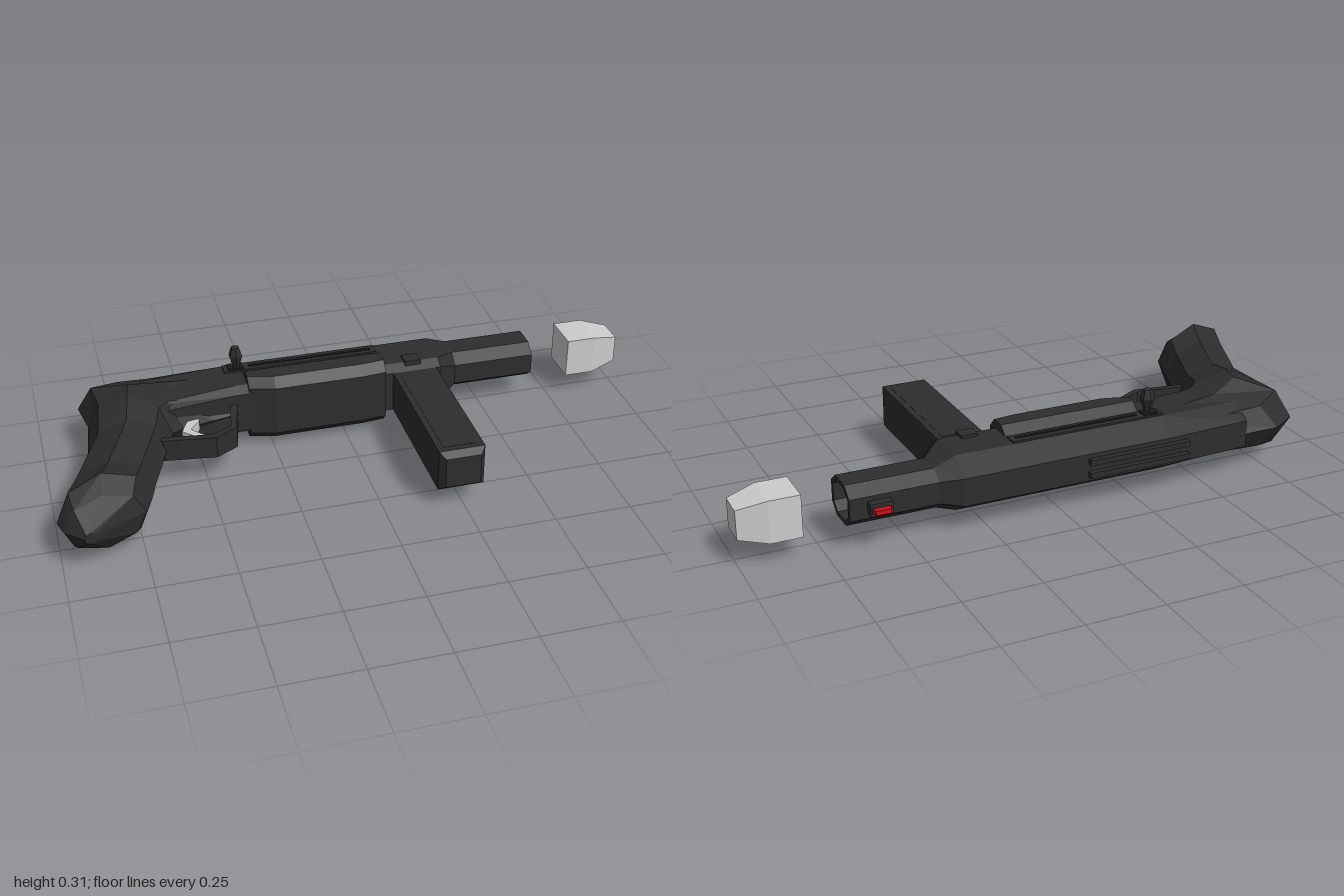
import * as THREE from 'three';

const CY = 0.14; // height of the symmetry plane

const mat = (name, color, extra = {}) =>
  Object.assign(new THREE.MeshStandardMaterial({ color, flatShading: true, ...extra }), { name });

// Skin a list of equal-sized point rings, with fan caps; always faces outwards
function loft(rings) {
  const tris = [], n = rings[0].length;
  const mid = (r) => r.reduce((s, p) => s.add(p), new THREE.Vector3()).divideScalar(n);
  for (let i = 0; i < rings.length - 1; i++) {
    for (let j = 0; j < n; j++) {
      const k = (j + 1) % n, a = rings[i], b = rings[i + 1];
      tris.push([a[j], a[k], b[k]], [a[j], b[k], b[j]]);
    }
  }
  const first = rings[0], last = rings[rings.length - 1];
  const c0 = mid(first), c1 = mid(last);
  for (let j = 0; j < n; j++) {
    const k = (j + 1) % n;
    tris.push([c0, first[k], first[j]], [c1, last[j], last[k]]);
  }
  const volume = tris.reduce((s, [a, b, c]) =>
    s + a.clone().sub(c0).dot(b.clone().sub(c0).cross(c.clone().sub(c0))), 0);
  if (volume < 0) tris.forEach((t) => t.reverse());
  const geo = new THREE.BufferGeometry().setFromPoints(tris.flat());
  geo.computeVertexNormals();
  return geo;
}

// Octagon ring spanning (x1,z1)-(x2,z2), with half width hy
function oval([x1, z1, x2, z2, hy]) {
  return Array.from({ length: 8 }, (_, i) => {
    const a = (i * Math.PI) / 4, c = Math.cos(a) / 2;
    return new THREE.Vector3((x1 + x2) / 2 + c * (x1 - x2), CY + Math.sin(a) * hy,
      (z1 + z2) / 2 + c * (z1 - z2));
  });
}

// Chamfered cross-section at x; t and b are [narrow width, chamfer depth]
function section(x, zTop, zBot, hy, t, b) {
  const half = [[t[0], zTop], [hy, zTop + t[1]], [hy, zBot - b[1]], [b[0], zBot]];
  return [...half, ...half.map(([y, z]) => [-y, z]).reverse()]
    .map(([y, z]) => new THREE.Vector3(x, CY + y, z));
}

// Rectangle ring at x
const rect = (x, z0, z1, y0, y1) =>
  [[y0, z0], [y1, z0], [y1, z1], [y0, z1]].map(([y, z]) => new THREE.Vector3(x, y, z));

// Flat outline in x,z extruded to a half width around the symmetry plane
function plate(points, hy, hole) {
  const shape = new THREE.Shape(points.map(([x, z]) => new THREE.Vector2(x, -z)));
  if (hole) shape.holes.push(new THREE.Path(hole.map(([x, z]) => new THREE.Vector2(x, -z))));
  const geo = new THREE.ExtrudeGeometry(shape, { depth: hy * 2, bevelEnabled: false });
  return geo.rotateX(-Math.PI / 2).translate(0, CY - hy, 0);
}

function box(x0, x1, y0, y1, z0, z1) {
  return new THREE.BoxGeometry(x1 - x0, y1 - y0, z1 - z0)
    .translate((x0 + x1) / 2, (y0 + y1) / 2, (z0 + z1) / 2);
}

export function createModel() {
  const group = new THREE.Group();
  const black = mat('gunmetal black', 0x2d2d2d);
  const dark = mat('slot black', 0x1c1c1c);
  const light = mat('light grey', 0xcccccc);
  const red = mat('sight red', 0xc4101e);
  const add = (name, geo, material = black) => {
    const mesh = new THREE.Mesh(geo, material);
    mesh.name = name;
    group.add(mesh);
    return mesh;
  };

  // Grip curving up into the rear of the body
  add('grip', loft([
    [-0.93, 0.405, -0.89, 0.395, 0.02],
    [-0.985, 0.35, -0.735, 0.31, 0.095],
    [-1.0, 0.3, -0.71, 0.25, 0.137],
    [-0.96, 0.19, -0.685, 0.17, 0.11],
    [-0.87, -0.03, -0.61, -0.04, 0.11],
    [-0.85, -0.2, -0.59, -0.09, 0.133],
    [-0.87, -0.32, -0.55, -0.11, 0.13],
    [-0.78, -0.375, -0.45, -0.13, 0.1],
    [-0.45, -0.38, -0.38, -0.145, 0.08],
  ].map(oval)));

  // Body tapering into the barrel
  const top = [0.045, 0.075], low = [0.07, 0.03];
  add('body', loft([
    section(-0.66, -0.375, -0.11, 0.085, top, low),
    section(-0.37, -0.39, -0.15, 0.09, top, low),
    section(0.33, -0.39, -0.15, 0.09, top, low),
    section(0.4, -0.36, -0.2, 0.065, [0.035, 0.04], [0.035, 0.04]),
  ]));

  // Barrel: octagonal tube with an open bore
  const ring = (s) => section(0, -0.08, 0.08, 0.065, [0.035, 0.04], [0.035, 0.04])
    .map((p) => new THREE.Vector2(-p.z * s, (p.y - CY) * s));
  const barrel = new THREE.Shape(ring(1));
  barrel.holes.push(new THREE.Path(ring(0.8)));
  add('barrel', new THREE.ExtrudeGeometry(barrel, { depth: 0.29, bevelEnabled: false })
    .rotateZ(Math.PI).rotateY(Math.PI / 2).translate(0.39, CY, -0.28));
  add('boreEnd', box(0.4, 0.42, CY - 0.045, CY + 0.045, -0.33, -0.23), dark);

  // Handguard block around the lower body
  const guard = (x, zBot) => section(x, -0.255, zBot, 0.116, [0.088, 0.035], [0.085, 0.03]);
  add('handguard', loft([guard(-0.325, -0.155), guard(-0.24, -0.132),
    guard(0.06, -0.132), guard(0.137, -0.14)]));

  // Side rail with its slot, and the cocking handle
  add('sideRail', box(-0.385, 0.137, 0.2, 0.236, -0.31, -0.265));
  add('railSlot', box(-0.3, 0.12, 0.23, 0.239, -0.292, -0.28), dark);
  add('boltSeat', box(-0.37, -0.32, 0.23, 0.242, -0.305, -0.268), dark);
  const knob = [[0, 0.2], [0.012, 0.2], [0.012, 0.245], [0.024, 0.285], [0.014, 0.315], [0, 0.315]];
  add('cockingHandle', new THREE.LatheGeometry(knob.map((p) => new THREE.Vector2(...p)), 6)
    .translate(-0.342, 0, -0.282));
  add('releaseButton', box(0.21, 0.265, 0.2, 0.239, -0.212, -0.167));

  // Magazine with a bevelled foot and framed panels
  const mag = (z, i) => [[0.165 + i, 0.07 + i], [0.315 - i, 0.07 + i],
    [0.315 - i, 0.21 - i], [0.165 + i, 0.21 - i]].map(([x, y]) => new THREE.Vector3(x, y, z));
  add('magazine', loft([mag(-0.2, 0), mag(0.34, 0), mag(0.362, 0.018)]));
  for (const y of [0.069, 0.207]) {
    add('magazinePanel', box(0.185, 0.295, y, y + 0.004, -0.13, 0.32));
  }

  // Trigger guard and trigger
  add('triggerGuard', plate(
    [[-0.66, -0.02], [-0.635, 0.005], [-0.47, 0.028], [-0.395, -0.015], [-0.365, -0.16],
      [-0.39, -0.16], [-0.412, -0.03], [-0.475, 0.006], [-0.64, -0.02]], 0.037));
  add('trigger', plate(
    [[-0.53, -0.14], [-0.5, -0.14], [-0.5, -0.115], [-0.535, -0.07], [-0.495, -0.025],
      [-0.515, -0.012], [-0.565, -0.065]], 0.018), light);

  // Twin rear rails and the front sight on the top
  for (const s of [-1, 1]) {
    add('rearRail', box(-0.43, -0.08, CY + s * 0.021 - 0.009, CY + s * 0.021 + 0.009, -0.408, -0.37));
  }
  add('frontSightBase', box(0.555, 0.625, CY - 0.02, CY + 0.02, -0.386, -0.35));
  add('frontSight', plate([[0.562, -0.38], [0.622, -0.38], [0.615, -0.408], [0.569, -0.408]], 0.007), red);

  // Bullet leaving the muzzle
  add('bullet', loft([
    rect(0.812, -0.332, -0.197, 0.073, 0.208),
    rect(0.91, -0.332, -0.197, 0.073, 0.208),
    rect(1.0, -0.31, -0.218, 0.094, 0.187),
  ]), light);

  return group;
}
